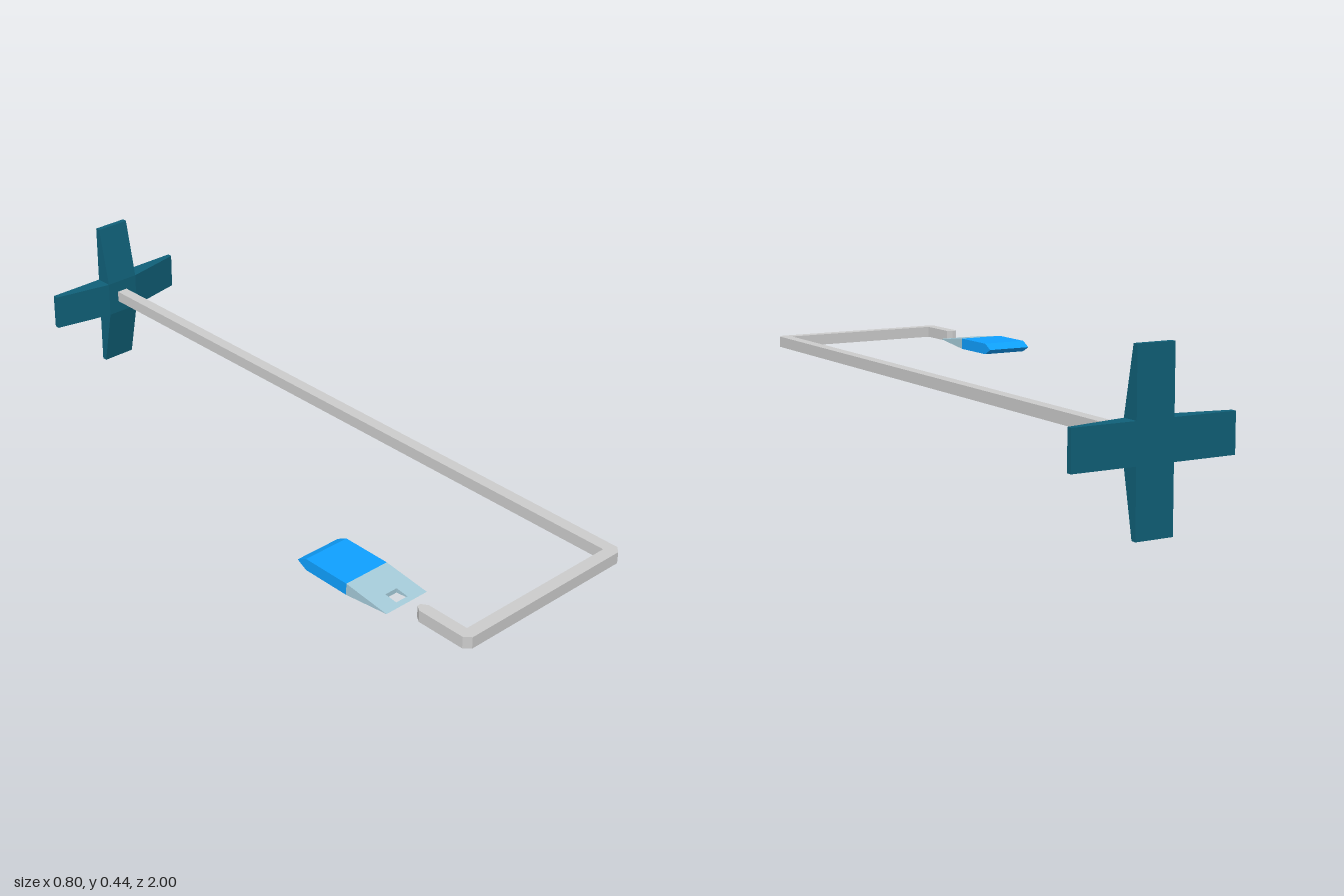
import * as THREE from 'three';

const rodMat = new THREE.MeshStandardMaterial({ color: 0xcccccc, flatShading: true });
const plateMat = new THREE.MeshStandardMaterial({ color: 0x106078, flatShading: true });
const tabMat = new THREE.MeshStandardMaterial({ color: 0x0fa0ff, flatShading: true });
const tipMat = new THREE.MeshStandardMaterial({ color: 0xa5cbd9, flatShading: true });

const MID_Y = 0.223;   // height of the rod's axis
const HALF = 0.016;    // half thickness of rod and tag

function add(group, name, geometry, material) {
  const mesh = new THREE.Mesh(geometry, material);
  mesh.name = name;
  group.add(mesh);
  return mesh;
}

function extrude(points, depth, hole) {
  const toVectors = (list) => list.map(([x, y]) => new THREE.Vector2(x, y));
  const shape = new THREE.Shape(toVectors(points));
  if (hole) shape.holes.push(new THREE.Path(toVectors(hole)));
  return new THREE.ExtrudeGeometry(shape, { depth, bevelEnabled: false });
}

// Extrudes an outline of [x, z] points upwards, centred on y = 0
function extrudePlan(points, height, hole) {
  const flip = (list) => list.map(([x, z]) => [x, -z]);
  return extrude(flip(points), height, hole && flip(hole))
    .rotateX(-Math.PI / 2)
    .translate(0, -height / 2, 0);
}

// Cross-shaped wall plate, thinning towards the ends of its arms
function createPlate() {
  const plate = new THREE.Group();
  plate.name = 'wallPlate';
  const w = 0.102, c = w / 2, r = 0.222, thick = 0.05, thin = 0.015;
  const bar = (points, angle) =>
    extrude(points, w).rotateX(Math.PI / 2).translate(0, c, 0).rotateZ(angle);

  const full = [[-r, 0], [r, 0], [r, thin], [c, thick], [-c, thick], [-r, thin]];
  const arm = [[c, 0], [r, 0], [r, thin], [c, thick]];
  add(plate, 'verticalBar', bar(full, Math.PI / 2), plateMat);
  add(plate, 'leftArm', bar(arm, 0), plateMat);
  add(plate, 'rightArm', bar(arm, Math.PI), plateMat);
  plate.position.set(0.179, 0.222, -1);
  return plate;
}

// Square rod bent into a hook, with cut corners and a blunt point
function createRod() {
  const outline = [
    [0.194, -0.952], [0.194, 0.984], [0.178, 1], [-0.336, 1], [-0.352, 0.984],
    [-0.352, 0.846], [-0.341, 0.83], [-0.331, 0.83], [-0.32, 0.846],
    [-0.32, 0.967], [0.161, 0.967], [0.161, -0.952],
  ];
  return extrudePlan(outline, HALF * 2);
}

// Tag: bevelled body and a wedge tip with a square hole
function createTag() {
  const tag = new THREE.Group();
  tag.name = 'tag';
  const x0 = -0.402, x1 = -0.268, back = 0.485, bevel = 0.515, seam = 0.655, front = 0.79;

  const profile = [[back, 0], [bevel, -HALF], [seam, -HALF], [seam, HALF], [bevel, HALF]];
  const body = extrude(profile, x1 - x0).rotateY(-Math.PI / 2).translate(x1, 0, 0);
  add(tag, 'tagBody', body, tabMat);

  const tip = extrudePlan(
    [[x0, seam], [x1, seam], [x1, front], [x0, front]],
    HALF * 2,
    [[-0.354, 0.738], [-0.354, 0.774], [-0.317, 0.774], [-0.317, 0.738]],
  );
  // Taper the thickness to a sharp front edge
  const p = tip.attributes.position;
  for (let i = 0; i < p.count; i++) {
    p.setY(i, p.getY(i) * (front - p.getZ(i)) / (front - seam));
  }
  tip.computeVertexNormals();
  add(tag, 'tagTip', tip, tipMat);
  tag.position.y = MID_Y;
  return tag;
}

export function createModel() {
  const model = new THREE.Group();
  model.name = 'wallHook';
  model.add(createPlate());
  add(model, 'hookRod', createRod(), rodMat).position.y = MID_Y;
  model.add(createTag());
  return model;
}
